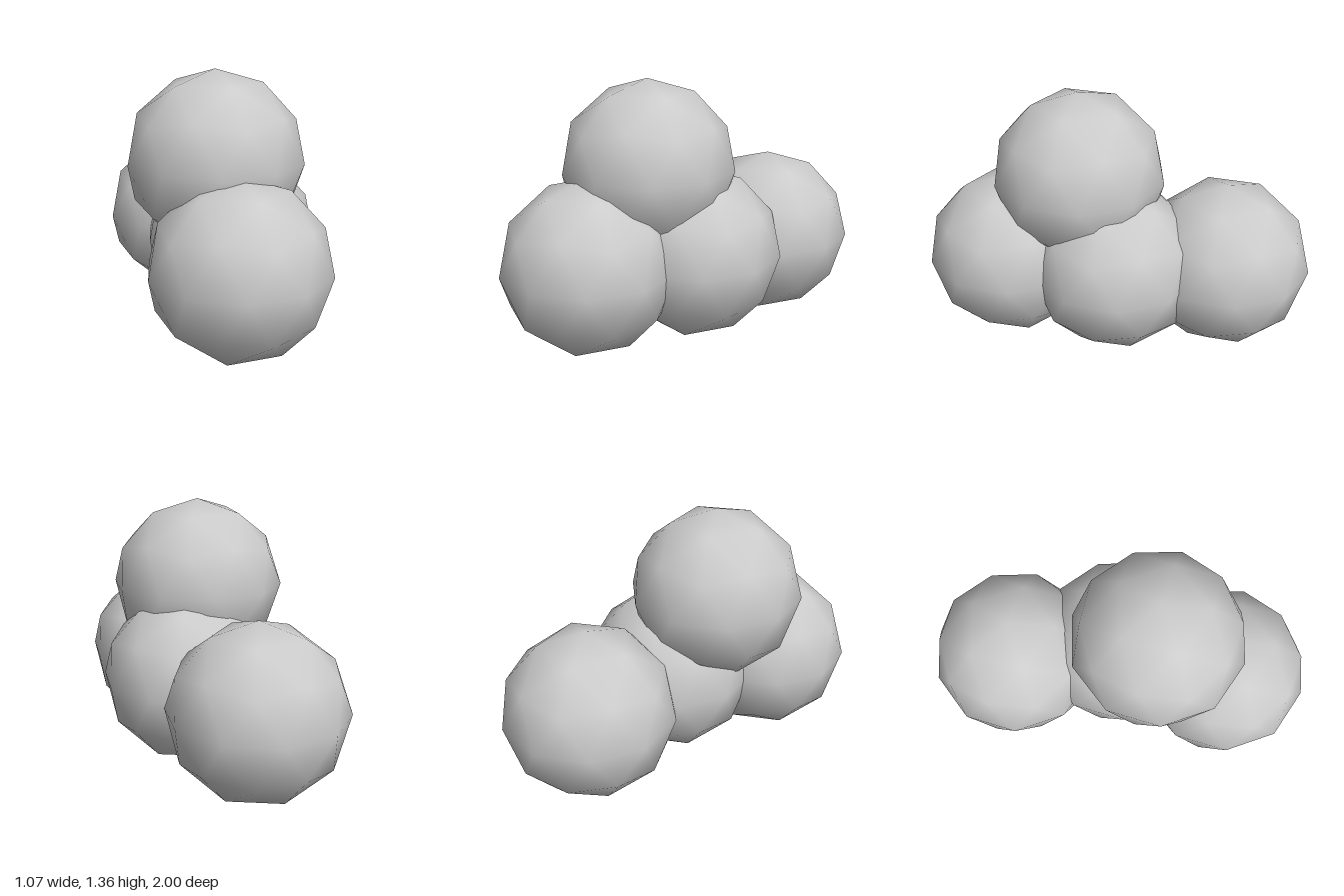
import * as THREE from 'three';

export function createModel() {
  const group = new THREE.Group();
  const material = new THREE.MeshStandardMaterial({ color: 0xcccccc });

  // Low-poly smooth ball, turned so that one corner points straight up
  const ball = new THREE.IcosahedronGeometry(0.447, 1);
  ball.rotateZ(-Math.atan(2 / (1 + Math.sqrt(5))));

  // Three balls in a row with a fourth resting on top
  const balls = {
    frontBall: [0.11, 0.467, 0.553],
    middleBall: [0.11, 0.472, -0.018],
    backBall: [-0.113, 0.45, -0.553],
    topBall: [0.015, 0.918, 0.2],
  };
  for (const [name, position] of Object.entries(balls)) {
    const mesh = new THREE.Mesh(ball, material);
    mesh.name = name;
    mesh.position.set(...position);
    group.add(mesh);
  }
  return group;
}
